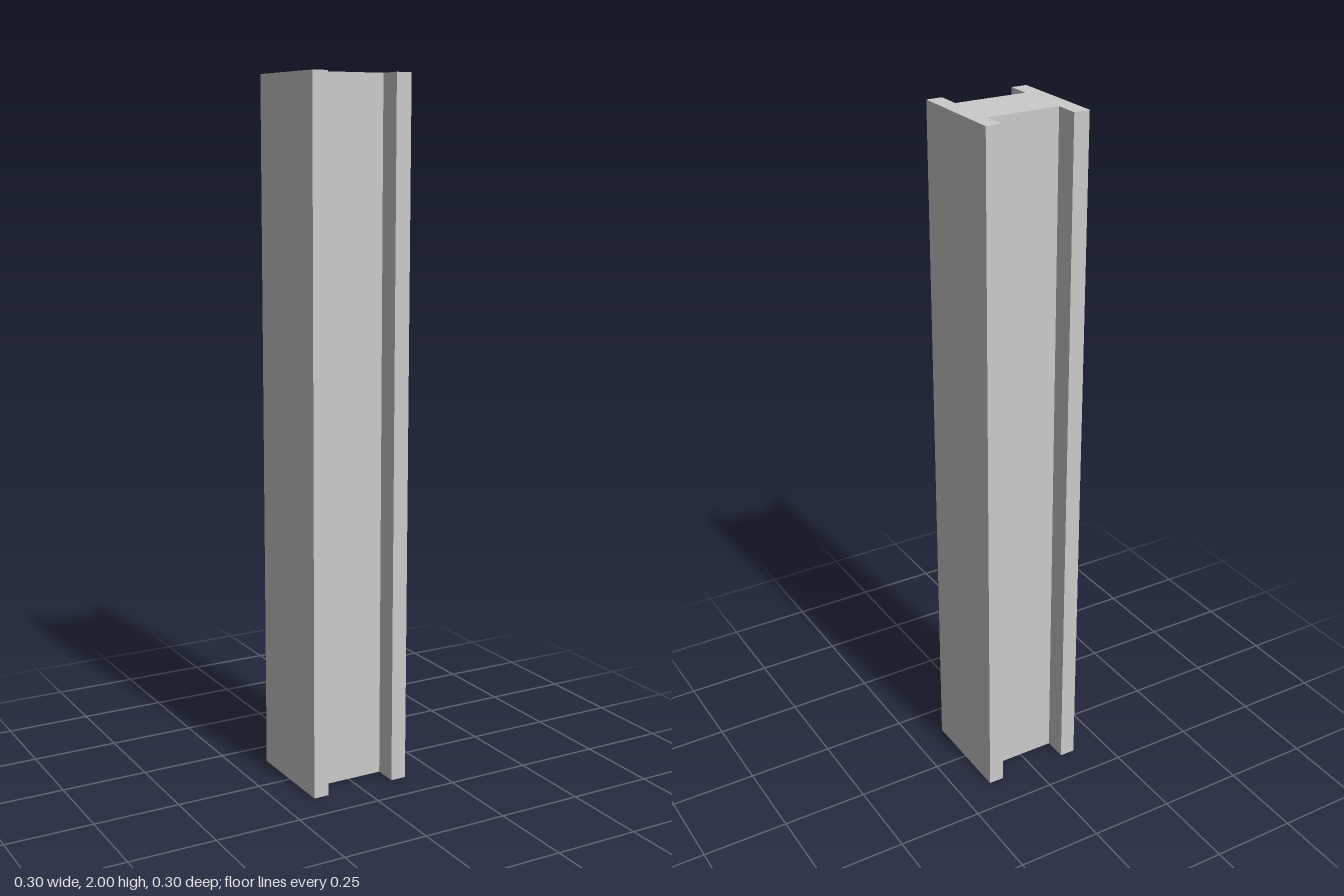
import * as THREE from 'three';

export function createModel() {
  const group = new THREE.Group();
  group.name = 'beam';

  const height = 2;
  const half = 0.15;        // half width and half depth of the section
  const flangeInner = 0.104; // inner face of each flange
  const webHalf = 0.081;    // half thickness of the web

  // H-shaped cross-section, counter-clockwise
  const section = new THREE.Shape([
    [-half, -half], [-flangeInner, -half], [-flangeInner, -webHalf],
    [flangeInner, -webHalf], [flangeInner, -half], [half, -half],
    [half, half], [flangeInner, half], [flangeInner, webHalf],
    [-flangeInner, webHalf], [-flangeInner, half], [-half, half],
  ].map(([x, y]) => new THREE.Vector2(x, y)));

  // Extrude the section and stand it upright
  const geometry = new THREE.ExtrudeGeometry(section, { depth: height, bevelEnabled: false });
  geometry.rotateX(-Math.PI / 2);

  const column = new THREE.Mesh(
    geometry,
    new THREE.MeshStandardMaterial({ color: 0xcccccc, flatShading: true })
  );
  column.name = 'hSectionColumn';
  group.add(column);
  return group;
}
